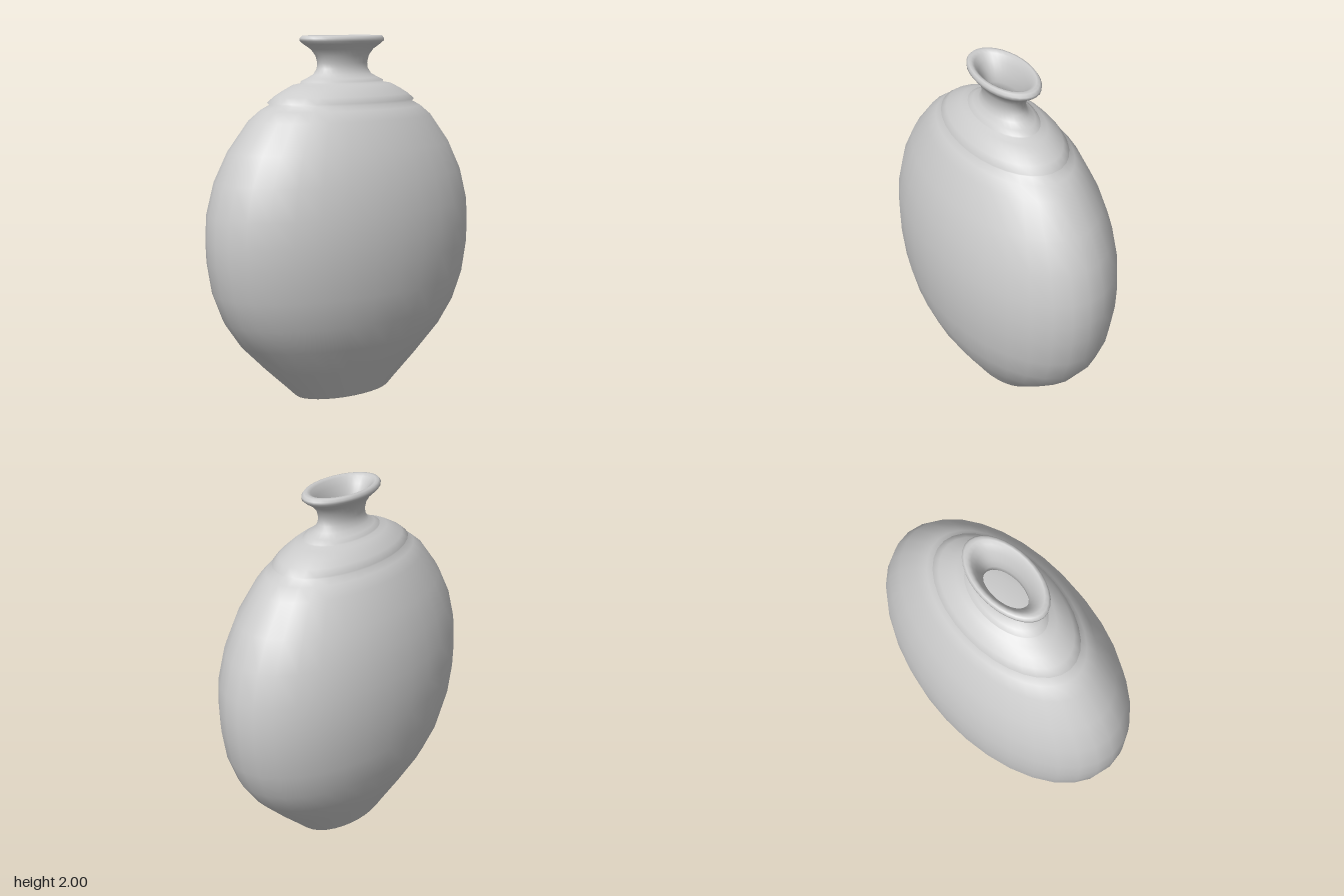
import * as THREE from 'three';

const DEPTH = 0.563; // oval cross-section: depth relative to width
const SEGMENTS = 32;

// Outer wall: base, belly, two stepped collars, waisted neck, rolled rim
const outer = [
  [0, 0], [0.315, 0], [0.325, 0.008], [0.37, 0.05], [0.52, 0.185], [0.67, 0.33],
  [0.77, 0.47], [0.835, 0.63], [0.865, 0.8], [0.87, 0.92], [0.862, 1.06],
  [0.815, 1.23], [0.73, 1.39], [0.6, 1.55], [0.525, 1.605], [0.47, 1.63],
  [0.483, 1.643], [0.44, 1.675], [0.385, 1.705], [0.325, 1.733], [0.27, 1.742],
  [0.272, 1.752], [0.235, 1.768], [0.19, 1.79], [0.168, 1.82], [0.164, 1.85],
  [0.175, 1.89], [0.205, 1.925], [0.255, 1.955], [0.275, 1.97], [0.276, 1.985],
  [0.262, 1.998], [0.24, 2],
];

// Inner wall: down the mouth, through the neck, into the hollow belly
const inner = [
  [0.215, 1.99], [0.185, 1.955], [0.155, 1.905], [0.144, 1.85], [0.15, 1.8],
  [0.22, 1.74], [0.42, 1.63], [0.56, 1.53], [0.69, 1.37], [0.77, 1.22],
  [0.82, 0.92], [0.79, 0.64], [0.63, 0.35], [0.34, 0.07], [0.3, 0.05], [0, 0.05],
];

export function createModel() {
  const group = new THREE.Group();
  group.name = 'vase';
  const material = new THREE.MeshStandardMaterial({ color: 0xcccccc });

  // One continuous turned profile, flattened front to back
  const profile = [...outer, ...inner].map(([r, y]) => new THREE.Vector2(r, y));
  const body = new THREE.Mesh(new THREE.LatheGeometry(profile, SEGMENTS), material);
  body.name = 'vaseBody';
  body.scale.z = DEPTH;
  group.add(body);

  return group;
}
